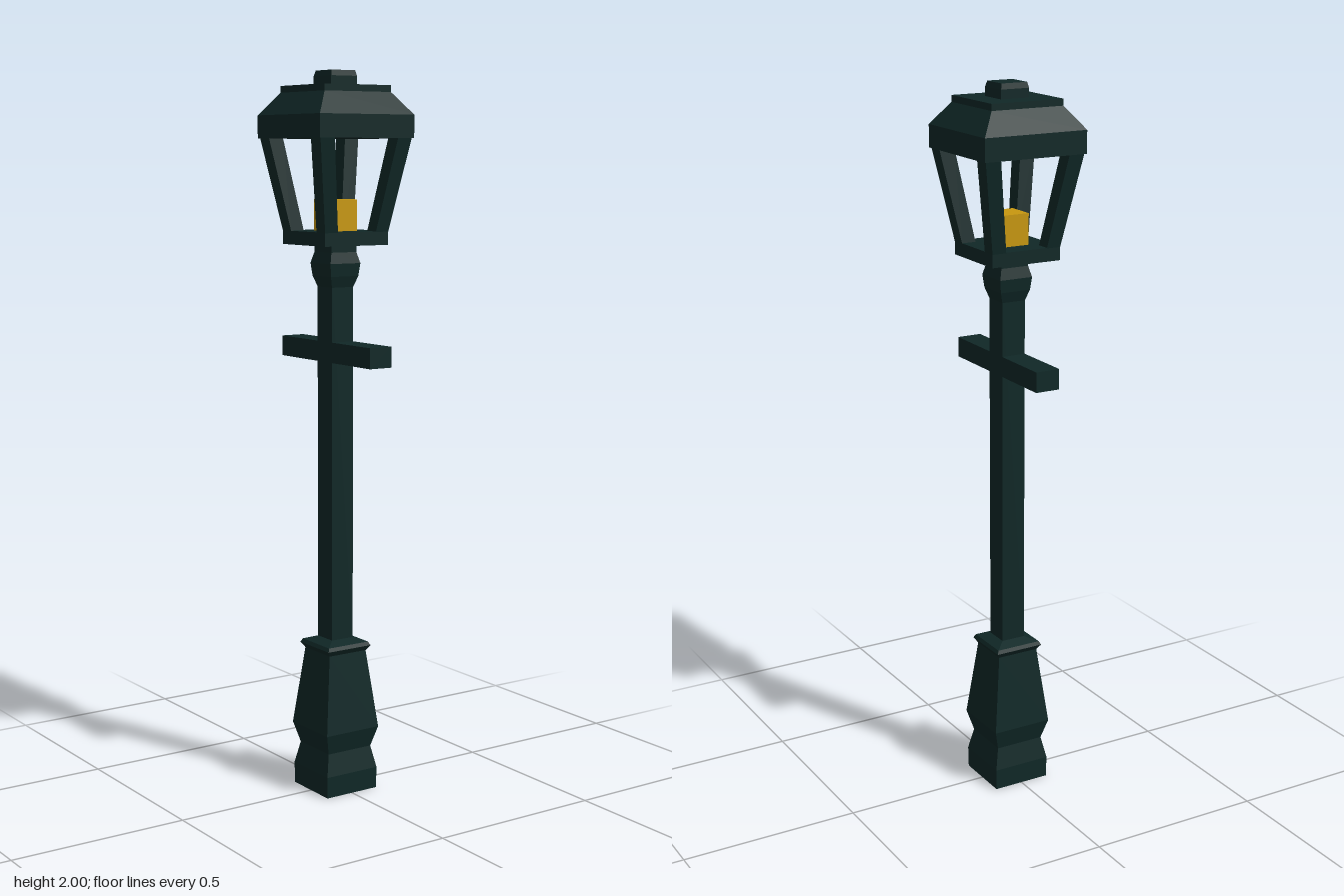
import * as THREE from 'three';

const paintedIron = new THREE.MeshStandardMaterial({ color: 0x102827 });
const amberLamp = new THREE.MeshStandardMaterial({ color: 0xc8980f });

// Square section swept up a profile of [half width, y] points
function squareLoft(name, profile, material = paintedIron) {
  const points = [
    [0, profile[0][1]], ...profile, [0, profile[profile.length - 1][1]],
  ].map(([w, y]) => new THREE.Vector2(w * Math.SQRT2, y));
  const geometry = new THREE.LatheGeometry(points, 4, Math.PI / 4).toNonIndexed();
  geometry.computeVertexNormals();
  const mesh = new THREE.Mesh(geometry, material);
  mesh.name = name;
  return mesh;
}

// Corner bar that leans outward from the lantern floor to the roof
function cornerBar() {
  const geometry = new THREE.BoxGeometry(1, 1, 1).toNonIndexed();
  const p = geometry.attributes.position;
  for (let i = 0; i < p.count; i++) {
    const top = p.getY(i) > 0;
    const inner = top ? 0.103 : 0.061;
    const outer = top ? 0.148 : 0.102;
    p.setXYZ(i, p.getX(i) > 0 ? outer : inner, top ? 1.825 : 1.565, p.getZ(i) > 0 ? outer : inner);
  }
  geometry.computeVertexNormals();
  return geometry;
}

export function createModel() {
  const model = new THREE.Group();
  model.name = 'streetLamp';

  // Pedestal, column and neck
  model.add(squareLoft('pedestal', [
    [0.083, 0], [0.084, 0.06], [0.071, 0.122], [0.087, 0.18],
    [0.061, 0.4], [0.071, 0.415], [0.066, 0.425], [0.035, 0.436],
  ]));
  model.add(squareLoft('column', [[0.035, 0.42], [0.035, 1.44]]));
  model.add(squareLoft('neck', [
    [0.035, 1.42], [0.045, 1.45], [0.049, 1.485], [0.041, 1.515], [0.041, 1.54],
  ]));

  // Ladder bar running front to back
  const bar = new THREE.Mesh(new THREE.BoxGeometry(0.07, 0.056, 0.428), paintedIron);
  bar.name = 'ladderBar';
  bar.position.y = 1.243;
  model.add(bar);

  // Lantern
  const lantern = new THREE.Group();
  lantern.name = 'lantern';
  model.add(lantern);
  lantern.add(squareLoft('lanternFloor', [[0.103, 1.535], [0.103, 1.572]]));
  lantern.add(squareLoft('lamp', [[0.042, 1.57], [0.042, 1.657]], amberLamp));
  const barGeometry = cornerBar();
  for (let i = 0; i < 4; i++) {
    const post = new THREE.Mesh(barGeometry, paintedIron);
    post.name = 'cornerBar' + (i + 1);
    post.rotation.y = i * Math.PI / 2;
    lantern.add(post);
  }
  lantern.add(squareLoft('roof', [
    [0.152, 1.82], [0.152, 1.882], [0.107, 1.942], [0.107, 1.96],
  ]));
  lantern.add(squareLoft('finial', [[0.042, 1.955], [0.042, 1.985], [0.038, 2]]));
  return model;
}
